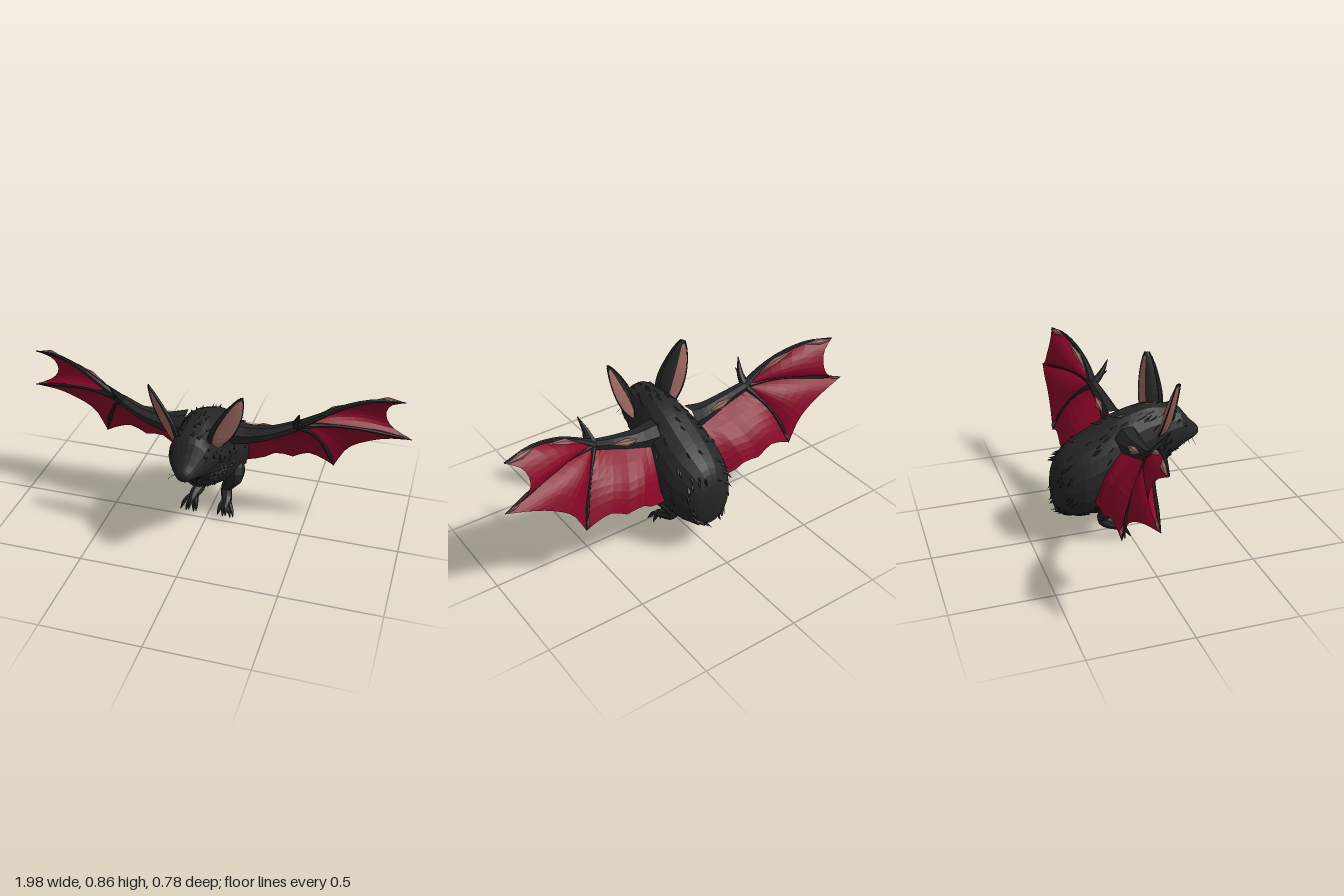
import * as THREE from 'three';
import { mergeGeometries } from 'three/addons/utils/BufferGeometryUtils.js';
import { ParametricGeometry } from 'three/addons/geometries/ParametricGeometry.js';

const V = (x, y, z) => new THREE.Vector3(x, y, z);
const curve = (pts) => new THREE.CatmullRomCurve3(pts.map((p) => V(...p)));

function material(name, color, options = {}) {
  const m = new THREE.MeshStandardMaterial({ color, flatShading: true, ...options });
  m.name = name;
  return m;
}

function add(parent, name, geometry, mat) {
  const mesh = new THREE.Mesh(geometry, mat);
  mesh.name = name;
  parent.add(mesh);
  return mesh;
}

// Tapered round limb along a smooth path; radii are spread evenly along it
function limb(pts, radii, sides = 7, steps = 10) {
  const path = curve(pts);
  const frames = path.computeFrenetFrames(steps);
  return new ParametricGeometry((u, v, out) => {
    const i = Math.round(v * steps);
    const k = v * (radii.length - 1);
    const j = Math.min(Math.floor(k), radii.length - 2);
    const r = THREE.MathUtils.lerp(radii[j], radii[j + 1], k - j);
    const a = u * Math.PI * 2;
    out.copy(path.getPointAt(v))
      .addScaledVector(frames.normals[i], r * Math.cos(a))
      .addScaledVector(frames.binormals[i], r * Math.sin(a));
  }, sides, steps);
}

// Membrane spanning side bones A and B, with a top edge T and a scalloped edge E
function membrane(A, B, T, E, sag) {
  const a0 = A.getPoint(0), a1 = A.getPoint(1), b0 = B.getPoint(0), b1 = B.getPoint(1);
  return new ParametricGeometry((u, v, out) => {
    out.copy(A.getPoint(v)).lerp(B.getPoint(v), u);
    out.addScaledVector(T.getPoint(u).sub(a0.clone().lerp(b0, u)), 1 - v);
    out.addScaledVector(E.getPoint(u).sub(a1.clone().lerp(b1, u)), v);
    out.z -= sag * Math.sin(Math.PI * u) * Math.sin(Math.PI * v);
  }, 10, 8);
}

// Body slices from rump to nose: z, underside, top, half width
const SLICES = [
  [-0.387, 0.298, 0.302, 0.001], [-0.37, 0.18, 0.4, 0.085], [-0.33, 0.145, 0.475, 0.13],
  [-0.25, 0.13, 0.535, 0.172], [-0.15, 0.145, 0.59, 0.178], [-0.05, 0.19, 0.64, 0.165],
  [0.05, 0.25, 0.672, 0.138], [0.12, 0.288, 0.68, 0.124], [0.19, 0.368, 0.668, 0.118],
  [0.27, 0.425, 0.652, 0.105], [0.315, 0.45, 0.6, 0.078], [0.35, 0.462, 0.558, 0.053],
  [0.382, 0.48, 0.528, 0.027], [0.39, 0.503, 0.507, 0.001],
];
const heights = curve(SLICES.map(([z, b, t]) => [(b + t) / 2, (t - b) / 2, z]));
const widths = curve(SLICES.map(([z, , , w]) => [w, 0, z]));

function bodyPoint(u, v, out) {
  const h = heights.getPoint(v), w = widths.getPoint(v).x;
  const a = u * Math.PI * 2;
  return out.set(w * Math.cos(a), h.x + h.y * Math.sin(a), h.z);
}

// Small fur tufts lying flat along the body, thicker on chest and rump
function furTufts() {
  let seed = 7;
  const rand = () => (seed = (seed * 16807) % 2147483647) / 2147483647;
  const list = [];
  for (let i = 0; i < 360; i++) {
    const chest = i % 3 === 0, rump = i % 6 === 1;
    const u = chest ? 0.5 + rand() * 0.5 : rump ? 0.6 + rand() * 0.3 : rand();
    const v = chest ? 0.45 + rand() * 0.18 : rump ? 0.1 + rand() * 0.2 : 0.1 + rand() * 0.58;
    const p = bodyPoint(u, v, V(0, 0, 0));
    const outward = V(p.x, p.y - heights.getPoint(v).x, 0).normalize();
    const dir = V(0, -0.8, -0.7);
    dir.addScaledVector(outward, -dir.dot(outward) + (chest ? 0.15 : 0.04)).normalize();
    const length = 0.035 + rand() * 0.03;
    const cone = new THREE.ConeGeometry(0.01, length, 4);
    cone.applyQuaternion(new THREE.Quaternion().setFromUnitVectors(V(0, 1, 0), dir));
    p.addScaledVector(dir, length * 0.2).addScaledVector(outward, -0.005);
    list.push(cone.translate(p.x, p.y, p.z));
  }
  return mergeGeometries(list);
}

// Ear levels: y, inner-front x and z, outer-rear x and z
const EAR = [
  [0.555, 0.075, 0.2, 0.125, 0.135], [0.61, 0.08, 0.218, 0.17, 0.135],
  [0.68, 0.098, 0.222, 0.203, 0.142], [0.75, 0.135, 0.22, 0.223, 0.154],
  [0.82, 0.182, 0.213, 0.23, 0.17], [0.86, 0.218, 0.203, 0.228, 0.183],
];
const earFront = curve(EAR.map(([y, x, z]) => [x, y, z]));
const earRear = curve(EAR.map(([y, , , x, z]) => [x, y, z]));

// Bowed ear surface over a share of its width and height; positive depth bows inward and back
function earSheet(depth, [u0, u1], [v0, v1]) {
  return new ParametricGeometry((u, v, out) => {
    const h = THREE.MathUtils.lerp(v0, v1, v), s = THREE.MathUtils.lerp(u0, u1, u);
    const f = earFront.getPoint(h), r = earRear.getPoint(h);
    const d = f.distanceTo(r) * depth * Math.sin(Math.PI * s);
    out.copy(f).lerp(r, s).add(V(-0.6 * d, 0, -0.8 * d));
  }, 4, 10);
}

export function createModel() {
  const fur = material('black fur', 0x252525);
  const furThin = material('black ear fur', 0x252525, { side: THREE.DoubleSide });
  const crimson = material('crimson membrane', 0x870527, { side: THREE.DoubleSide });
  const pink = material('dusky pink skin', 0x99665f, { side: THREE.DoubleSide });
  const dark = material('dark eye', 0x1a1a1a);

  const model = new THREE.Group();
  model.name = 'bat';
  add(model, 'body', new ParametricGeometry(bodyPoint, 20, 39), fur);
  add(model, 'furTufts', furTufts(), fur);
  add(model, 'nose', new THREE.SphereGeometry(0.014, 8, 6).translate(0, 0.507, 0.376), dark);

  // Wing bones
  const shoulder = [0.1, 0.55, -0.02], wrist = [0.45, 0.625, -0.03];
  const arm = [shoulder, [0.2, 0.546, -0.012], [0.33, 0.577, -0.01], wrist];
  const lead = [wrist, [0.55, 0.69, -0.03], [0.66, 0.75, -0.05], [0.8, 0.788, -0.085], [0.945, 0.782, -0.12]];
  const middle = [wrist, [0.62, 0.628, -0.075], [0.8, 0.6, -0.125], [0.99, 0.555, -0.17]];
  const rear = [wrist, [0.53, 0.52, -0.125], [0.58, 0.42, -0.175], [0.615, 0.31, -0.215]];
  const root = [shoulder, [0.13, 0.42, -0.13], [0.15, 0.27, -0.2]];
  const still = curve([wrist, wrist]);
  const [L, M, R, B] = [lead, middle, rear, root].map(curve);

  for (const side of [1, -1]) {
    const half = new THREE.Group();
    half.name = side > 0 ? 'leftHalf' : 'rightHalf';
    half.scale.x = side;
    model.add(half);

    // Wing
    const wing = new THREE.Group();
    wing.name = 'wing';
    half.add(wing);
    add(wing, 'arm', limb(arm, [0.07, 0.05, 0.035, 0.027]), fur);
    add(wing, 'leadingFinger', limb(lead, [0.024, 0.015, 0.011, 0.009, 0.003]), fur);
    add(wing, 'middleFinger', limb(middle, [0.02, 0.009, 0.008, 0.011, 0.002]), fur);
    add(wing, 'rearFinger', limb(rear, [0.02, 0.009, 0.008, 0.013, 0.002]), fur);
    add(wing, 'thumb', limb([wrist, [0.455, 0.67, 0.015], [0.475, 0.742, 0.062]], [0.024, 0.016, 0.002]), fur);
    add(wing, 'thumbSpur', limb([wrist, [0.465, 0.655, 0.01], [0.45, 0.69, 0.05]], [0.022, 0.014, 0.002]), fur);
    add(wing, 'tipMembrane', membrane(L, M, still,
      curve([lead[4], [0.87, 0.735, -0.15], [0.855, 0.665, -0.175], [0.885, 0.61, -0.18], middle[3]]), 0.03), crimson);
    add(wing, 'middleMembrane', membrane(M, R, still,
      curve([middle[3], [0.87, 0.53, -0.19], [0.77, 0.49, -0.2], [0.68, 0.43, -0.21], rear[3]]), 0.02), crimson);
    add(wing, 'innerMembrane', membrane(R, B, curve([...arm].reverse()),
      curve([rear[3], [0.54, 0.345, -0.22], [0.47, 0.355, -0.225], [0.4, 0.315, -0.23],
        [0.32, 0.325, -0.23], [0.24, 0.285, -0.22], root[2]]), 0.03), crimson);

    // Bare skin patches behind the leading edge and the finger tips
    const patches = [
      ['fingerSkin', [[0.53, 0.672, -0.048], [0.62, 0.724, -0.06], [0.71, 0.76, -0.08]], 0.019],
      ['tipSkin', [[0.79, 0.783, -0.093], [0.86, 0.784, -0.115], [0.93, 0.778, -0.126]], 0.016],
      ['armSkin', [[0.21, 0.567, -0.05], [0.28, 0.577, -0.048], [0.35, 0.593, -0.045]], 0.021],
      ['middleTipSkin', [[0.91, 0.578, -0.166], [0.94, 0.57, -0.17], [0.975, 0.56, -0.174]], 0.008],
      ['rearTipSkin', [[0.595, 0.37, -0.205], [0.602, 0.35, -0.214], [0.61, 0.325, -0.218]], 0.009],
    ];
    for (const [name, pts, r] of patches) add(wing, name, limb(pts, [0.003, r, 0.003]), pink);

    // Ear
    const ear = new THREE.Group();
    ear.name = 'ear';
    half.add(ear);
    add(ear, 'innerEar', earSheet(-0.14, [0, 1], [0, 0.91]), pink);
    add(ear, 'earTip', earSheet(-0.14, [0, 1], [0.91, 1]), furThin);
    add(ear, 'earBack', earSheet(0.22, [0, 0.55], [0, 1]), furThin);
    add(ear, 'earBackSkin', earSheet(0.22, [0.55, 1], [0, 0.91]), pink);
    add(ear, 'earBackTip', earSheet(0.22, [0.55, 1], [0.91, 1]), furThin);
    for (const [name, edge, r] of [['earFrontRim', earFront, 0.013], ['earRearRim', earRear, 0.004]])
      add(ear, name, limb(edge.points.map((p) => p.toArray()), [r, r, 0.7 * r, 0.004], 6), fur);

    // Eye and whiskers
    add(half, 'eye', new THREE.SphereGeometry(0.011, 8, 6).translate(0.082, 0.572, 0.288), dark);
    for (let i = 0; i < 4; i++)
      add(half, 'whisker', limb([[0.03, 0.49 - i * 0.006, 0.345 - i * 0.015],
        [0.06, 0.48 - i * 0.01, 0.34 - i * 0.02], [0.088, 0.455 + i * 0.008, 0.35 - i * 0.035]], [0.0018, 0.0006], 3, 4), dark);

    // Leg, foot and toes
    const leg = new THREE.Group();
    leg.name = 'leg';
    half.add(leg);
    add(leg, 'thigh', limb([[0.115, 0.32, -0.12], [0.13, 0.25, -0.09], [0.105, 0.185, -0.115], [0.07, 0.115, -0.143]],
      [0.05, 0.053, 0.039, 0.027]), fur);
    add(leg, 'foot', limb([[0.07, 0.14, -0.147], [0.073, 0.1, -0.135], [0.088, 0.08, -0.09], [0.093, 0.062, -0.055]],
      [0.024, 0.03, 0.029, 0.02]), fur);
    // Toes fan out, alternate ones reaching lower
    for (let i = 0; i < 5; i++) {
      const s = (i - 2) / 2, low = i % 2 ? 0.022 : 0;
      add(leg, 'toe', limb([[0.09 + s * 0.014, 0.075, -0.08], [0.094 + s * 0.028, 0.068 - low, -0.045],
        [0.098 + s * 0.036, 0.048 - low, -0.03 - low * 0.5], [0.1 + s * 0.042, 0.024 - low, -0.014 - low]],
        [0.013, 0.012, 0.01, 0.002], 5, 6), fur);
    }
  }
  return model;
}
